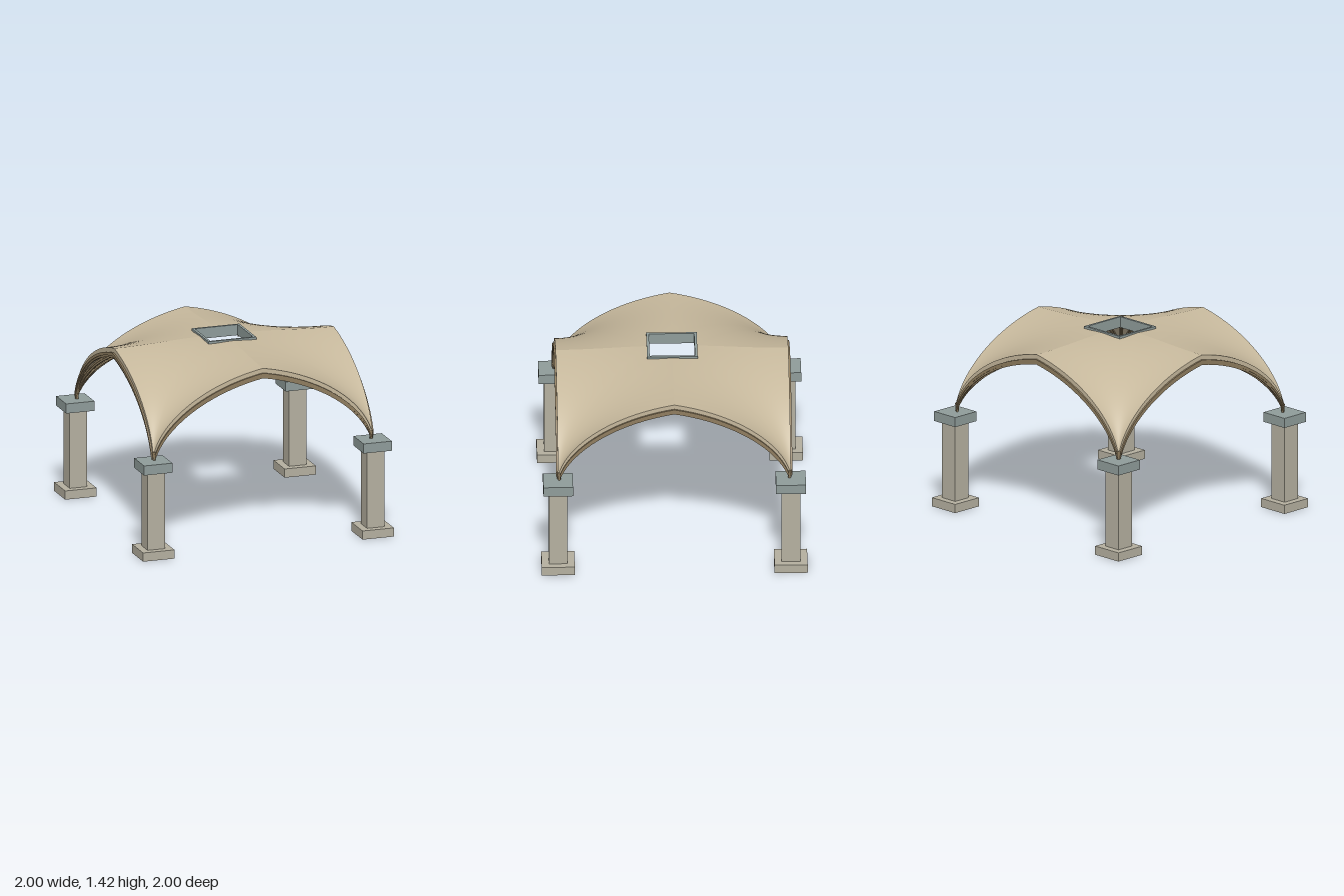
import * as THREE from 'three';
import { mergeGeometries, toCreasedNormals } from 'three/addons/utils/BufferGeometryUtils.js';

const HALF = 0.875;      // half span between column centres
const OPEN = 0.695;      // distance from a corner to the central opening
const SPRING = 0.75;     // height at which the vault springs
const SKIN = 0.045;      // vertical thickness of the vault skin

const material = (color, side = THREE.FrontSide) =>
  new THREE.MeshStandardMaterial({ color, side });

// Height of the vault at distance r from its corner
function height(r) {
  const k = 1 - Math.min(r / 1.2, 1);
  return SPRING + 0.66 * Math.pow(1 - k * k, 0.575);
}

// Distance from the corner to the ridge or the opening, at angle a
function reach(a) {
  const b = Math.min(a, Math.PI / 2 - a);
  return Math.min(HALF / Math.cos(b), OPEN / Math.max(Math.sin(b), 1e-6));
}

// Point of one quarter of the vault, lowered by drop
function vaultPoint(a, r, drop = 0) {
  return new THREE.Vector3(
    HALF - r * Math.cos(a),
    Math.max(height(r) - drop, SPRING),
    HALF - r * Math.sin(a));
}

// Surface over a grid of nu x nv cells
function sheet(nu, nv, point) {
  const positions = [], index = [];
  for (let i = 0; i <= nu; i++)
    for (let j = 0; j <= nv; j++) positions.push(...point(i, j).toArray());
  for (let i = 0; i < nu; i++) {
    for (let j = 0; j < nv; j++) {
      const a = i * (nv + 1) + j, b = a + nv + 1;
      index.push(a, b, a + 1, b, b + 1, a + 1);
    }
  }
  const g = new THREE.BufferGeometry();
  g.setAttribute('position', new THREE.Float32BufferAttribute(positions, 3));
  g.setIndex(index);
  g.computeVertexNormals();
  return g;
}

// One quarter of the skin: outer face, inner face and the two arch edges
function skinGeometry() {
  const N = 30;
  const bend = Math.atan(OPEN / HALF);
  const angles = [];
  for (let i = 0; i <= 12; i++) angles.push(bend * i / 12);
  for (let i = 1; i <= 3; i++) angles.push(bend + (Math.PI / 4 - bend) * i / 3);
  for (let i = 14; i >= 0; i--) angles.push(Math.PI / 2 - angles[i]);
  const M = angles.length - 1;
  const radius = (a, j) => 0.004 + (reach(a) - 0.004) * Math.pow(j / N, 1.8);
  const at = (i, j, drop) => vaultPoint(angles[i], radius(angles[i], j), drop);
  return mergeGeometries([
    sheet(M, N, (i, j) => at(i, j, 0)),
    sheet(M, N, (i, j) => at(M - i, j, SKIN)),
    sheet(N, 1, (j, k) => at(0, j, k * SKIN)),
    sheet(1, N, (k, j) => at(M, j, k * SKIN)),
    sheet(1, M, (k, i) => at(i, N, k * SKIN)),
  ]);
}

// Moulded rib with a stepped section, running from the corner to the ridge
function ribGeometry(a) {
  const section = [
    [-0.013, 0.035], [0.013, 0.035], [0.013, 0.06], [0.007, 0.06],
    [0.007, 0.076], [-0.007, 0.076], [-0.007, 0.06], [-0.013, 0.06],
  ];
  const N = 24, start = 0.014;
  const end = reach(a) + (a > 0.01 && a < Math.PI / 2 - 0.01 ? 0.006 : 0);
  const side = new THREE.Vector3(Math.sin(a), 0, -Math.cos(a));
  const g = sheet(section.length, N, (s, j) => {
    const [across, drop] = section[s % section.length];
    const r = start + (end - start) * Math.pow(j / N, 1.8);
    return vaultPoint(a, r, drop).addScaledVector(side, across);
  });
  return toCreasedNormals(g, Math.PI / 6);
}

function box(name, width, y0, y1, mat) {
  const m = new THREE.Mesh(new THREE.BoxGeometry(width, y1 - y0, width), mat);
  m.name = name;
  m.position.set(HALF, (y0 + y1) / 2, HALF);
  return m;
}

// Square frame extruded upwards
function frame(name, outer, inner, y0, y1, mat) {
  const square = (path, h) => path.moveTo(-h, -h).lineTo(h, -h).lineTo(h, h).lineTo(-h, h).closePath();
  const shape = square(new THREE.Shape(), outer);
  shape.holes.push(square(new THREE.Path(), inner));
  const g = new THREE.ExtrudeGeometry(shape, { depth: y1 - y0, bevelEnabled: false });
  g.rotateX(-Math.PI / 2).translate(0, y0, 0);
  const m = new THREE.Mesh(g, mat);
  m.name = name;
  return m;
}

export function createModel() {
  const model = new THREE.Group();
  model.name = 'vaultedPavilion';

  const stone = material(0xb5b0a0);
  const slate = material(0x8f9c9a);
  const plaster = material(0xc6b89c, THREE.DoubleSide);
  const ribStone = material(0x8f7d5f, THREE.DoubleSide);

  const skin = skinGeometry();
  const ribs = [];
  for (let i = 0; i <= 6; i++) ribs.push(ribGeometry(i * Math.PI / 12));
  const ribFan = mergeGeometries(ribs);
  const stub = new THREE.CylinderGeometry(0.016, 0.01, 0.07, 8);

  // Four identical quarters, each with a column and its fan of ribs
  for (let q = 0; q < 4; q++) {
    const quarter = new THREE.Group();
    quarter.name = 'quarter' + (q + 1);
    quarter.rotation.y = q * Math.PI / 2;

    quarter.add(
      box('columnBase', 0.25, 0, 0.068, stone),
      box('columnShaft', 0.14, 0.068, 0.67, stone),
      box('columnCapital', 0.225, 0.67, 0.745, slate));

    const vault = new THREE.Mesh(skin, plaster);
    vault.name = 'vaultSkin';
    const fan = new THREE.Mesh(ribFan, ribStone);
    fan.name = 'vaultRibs';
    const springer = new THREE.Mesh(stub, ribStone);
    springer.name = 'springer';
    springer.position.set(HALF - 0.01, 0.775, HALF - 0.01);
    quarter.add(vault, fan, springer);
    model.add(quarter);
  }

  // Frame around the central opening
  model.add(
    frame('openingLining', 0.184, 0.17, 1.335, 1.41, slate),
    frame('openingRim', 0.19, 0.17, 1.4, 1.418, slate));

  return model;
}
